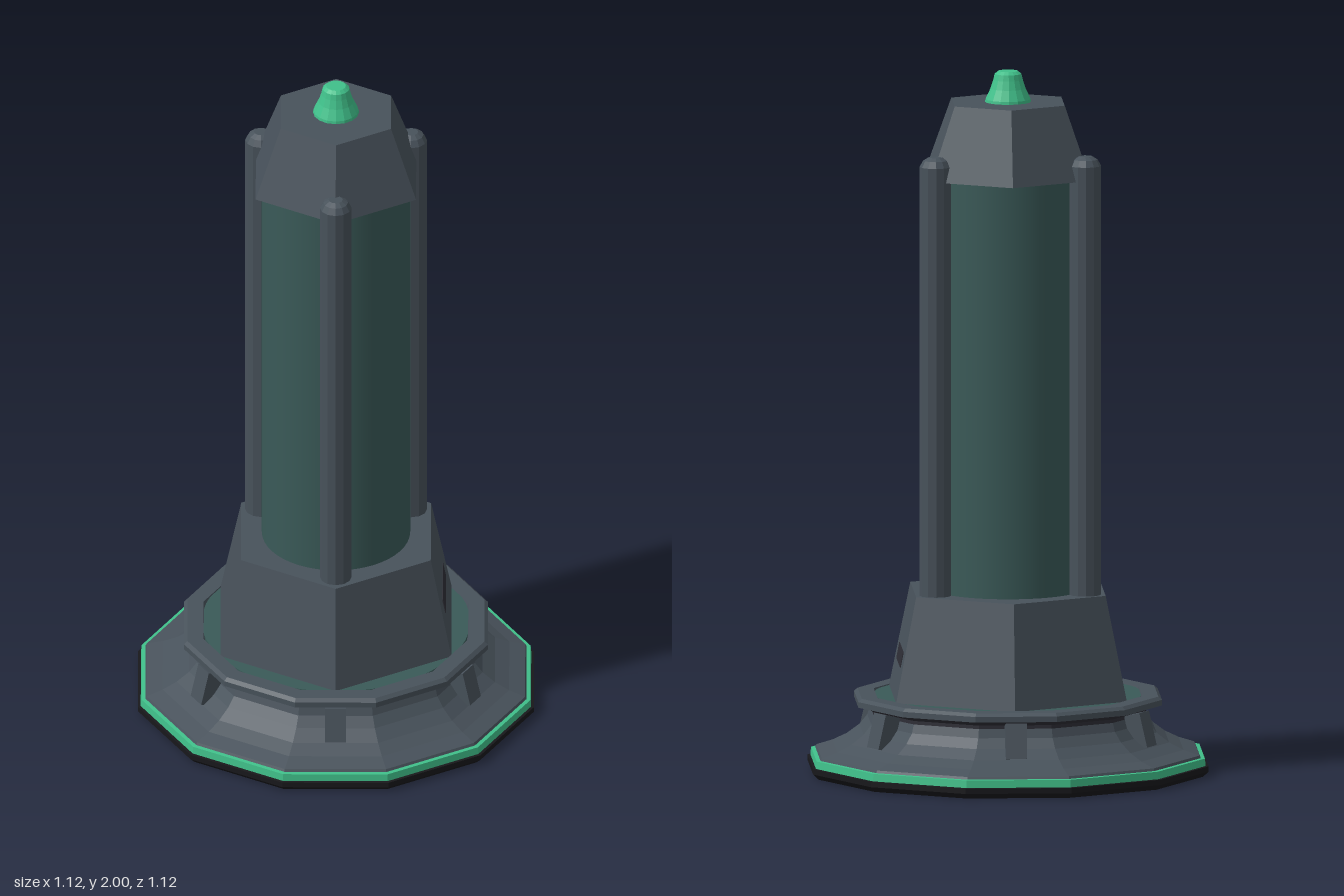
import * as THREE from 'three';

const mat = (name, color, flat = true) => {
  const m = new THREE.MeshStandardMaterial({ color, flatShading: flat });
  m.name = name;
  return m;
};

export function createModel() {
  const slate = mat('slate', 0x48525b);
  const black = mat('black', 0x18181b);
  const teal = mat('teal glass', 0x3a5a58, false);
  const green = mat('glow green', 0x40c08a);
  const shade = mat('dark recess', 0x2e2e36);

  const model = new THREE.Group();
  model.name = 'pillar';

  const add = (name, geometry, material, y = 0, parent = model) => {
    const mesh = new THREE.Mesh(geometry, material);
    mesh.name = name;
    mesh.position.y = y;
    parent.add(mesh);
    return mesh;
  };
  // Twelve-sided lathe with flats on the axes; radii are measured to the flats
  const twelveSided = (profile) => new THREE.LatheGeometry(
    profile.map(([r, y]) => new THREE.Vector2(r / Math.cos(Math.PI / 12), y)),
    12, Math.PI / 12);
  // Six-sided tapered block with corners on the z axis
  const hexBlock = (top, bottom, height) =>
    new THREE.CylinderGeometry(top, bottom, height, 6);

  // Base: foot, glowing rim, concave flare and collar
  add('foot', twelveSided([[0, 0], [0.545, 0], [0.56, 0.015], [0.56, 0.03], [0.5, 0.036]]), black);
  add('glowRim', twelveSided([[0.5, 0.03], [0.552, 0.03], [0.55, 0.052], [0.5, 0.056]]), green);
  add('flare', twelveSided([
    [0.5, 0.05], [0.54, 0.05], [0.535, 0.06], [0.49, 0.075], [0.45, 0.095],
    [0.415, 0.122], [0.393, 0.15], [0.385, 0.175],
  ]), slate);
  add('collarRecess', twelveSided([[0.385, 0.17], [0.385, 0.185], [0.41, 0.2]]), shade);
  add('collar', twelveSided([
    [0.39, 0.195], [0.43, 0.2], [0.43, 0.216], [0.42, 0.225], [0.375, 0.225], [0.37, 0.21],
  ]), slate);
  add('collarDisc', new THREE.CylinderGeometry(0.38, 0.38, 0.02, 48), teal, 0.212);

  // Six small brackets under the collar
  for (let i = 0; i < 6; i++) {
    const bracket = new THREE.Group();
    bracket.name = 'bracket';
    bracket.rotation.y = i * Math.PI / 3;
    const block = add('bracketBlock', new THREE.BoxGeometry(0.06, 0.1, 0.05), slate, 0.142, bracket);
    block.position.z = 0.42;
    block.rotation.x = -0.25;
    model.add(bracket);
  }

  // Hexagonal plinth with a slot on its left face
  add('plinth', hexBlock(0.31, 0.38, 0.31), slate, 0.365);
  const slot = add('slot', new THREE.BoxGeometry(0.008, 0.045, 0.2), shade, 0.333);
  slot.position.x = 0.303;
  slot.rotation.z = Math.atan2(0.06, 0.31);

  // Glass column
  add('column', new THREE.CylinderGeometry(0.21, 0.21, 1.2, 48), teal, 1.11);

  // Three round posts around the column
  const post = new THREE.LatheGeometry([
    [0, 0.5], [0.045, 0.5], [0.045, 1.745], [0.035, 1.763], [0.02, 1.772], [0, 1.772],
  ].map(([r, y]) => new THREE.Vector2(r, y)), 12);
  for (let i = 0; i < 3; i++) {
    const a = i * Math.PI * 2 / 3;
    const mesh = add('post', post, slate);
    mesh.position.set(Math.sin(a) * 0.245, 0, Math.cos(a) * 0.245);
  }

  // Hexagonal cap and glowing tip
  add('cap', hexBlock(0.18, 0.262, 0.21), slate, 1.807);
  add('tip', new THREE.LatheGeometry([
    [0.066, 1.905], [0.064, 1.92], [0.05, 1.95], [0.042, 1.975], [0.038, 1.992], [0.028, 2], [0, 2],
  ].map(([r, y]) => new THREE.Vector2(r, y)), 16), green);

  return model;
}
